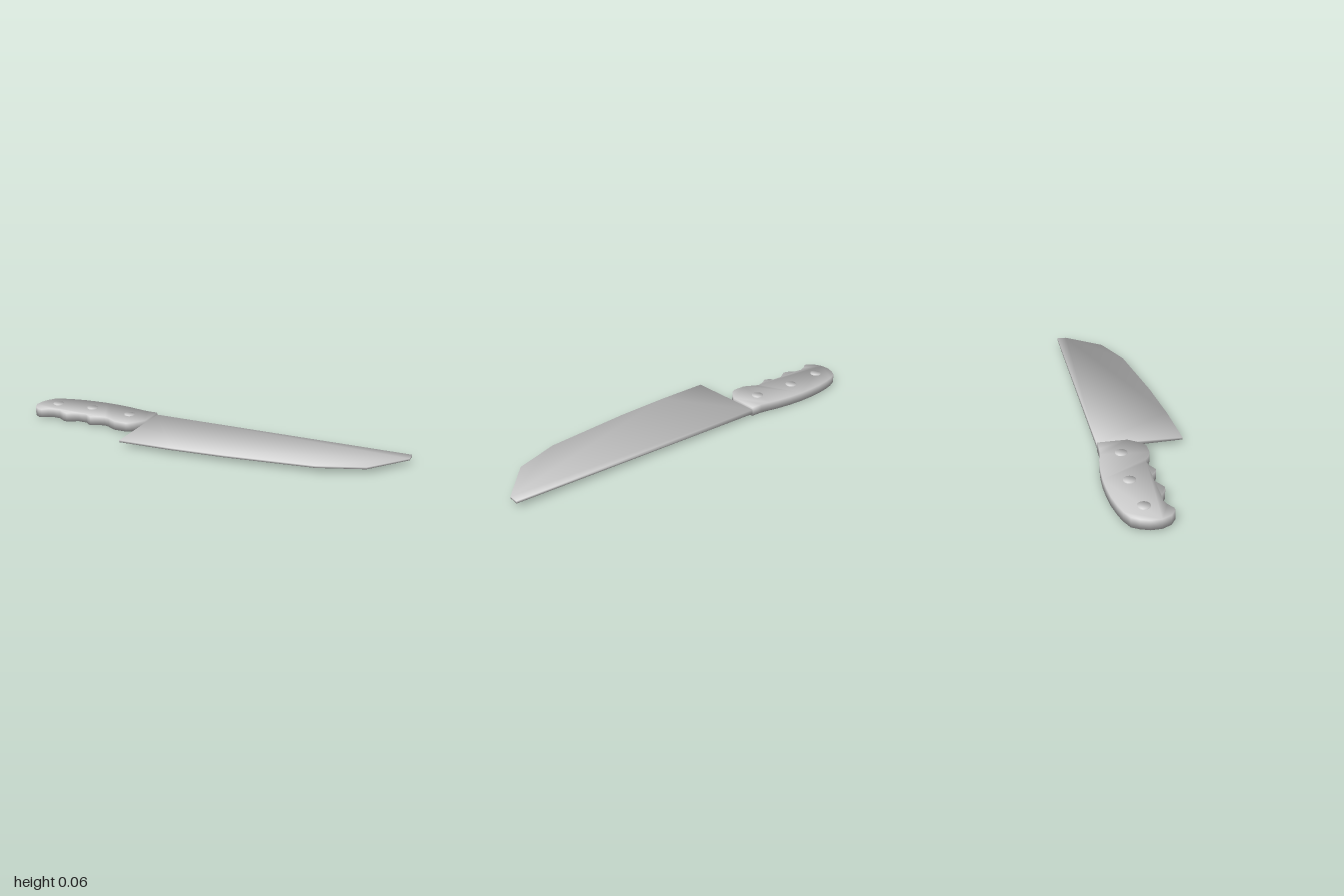
import * as THREE from 'three';

const MID_Y = 0.03;

// Closed slab from an outline of [x, z, halfThickness]; normals are softened around the rim.
function slab(name, outline, material) {
  let pts = outline;
  const flat = (list) => list.map(([x, z]) => new THREE.Vector2(x, z));
  if (THREE.ShapeUtils.isClockWise(flat(pts))) pts = pts.slice().reverse();
  const n = pts.length;
  const position = [], normal = [], index = [];
  const outward = (a, b) => new THREE.Vector2(b[1] - a[1], a[0] - b[0]).normalize();

  for (const side of [-1, 1]) {
    pts.forEach((p, i) => {
      const out = outward(pts[(i + n - 1) % n], p).add(outward(p, pts[(i + 1) % n])).normalize();
      const v = new THREE.Vector3(out.x, side, out.y).normalize();
      position.push(p[0], MID_Y + side * p[2], p[1]);
      normal.push(v.x, v.y, v.z);
    });
  }
  // lower and upper faces
  for (const [a, b, c] of THREE.ShapeUtils.triangulateShape(flat(pts), [])) {
    index.push(a, b, c, n + a, n + c, n + b);
  }
  // rim
  for (let i = 0; i < n; i++) {
    const j = (i + 1) % n;
    index.push(i, n + i, n + j, i, n + j, j);
  }
  const geometry = new THREE.BufferGeometry();
  geometry.setAttribute('position', new THREE.Float32BufferAttribute(position, 3));
  geometry.setAttribute('normal', new THREE.Float32BufferAttribute(normal, 3));
  geometry.setIndex(index);
  const mesh = new THREE.Mesh(geometry, material);
  mesh.name = name;
  return mesh;
}

export function createModel() {
  const group = new THREE.Group();
  group.name = 'kitchenKnife';
  const steel = new THREE.MeshStandardMaterial({ color: 0xcccccc });
  steel.name = 'light grey';

  // blade: thick straight spine, thin curved cutting edge
  group.add(slab('blade', [
    [-0.34, -0.185, 0.012], [1, -0.185, 0.006], [1, -0.135, 0.004],
    [0.845, 0.053, 0.005], [0.63, 0.134, 0.005], [0.2, 0.188, 0.005],
    [-0.075, 0.209, 0.005], [-0.34, 0.218, 0.005],
  ], steel));

  // handle: arched back, finger grooves along the front
  const handle = [
    [-0.34, -0.185], [-0.4, -0.186], [-0.45, -0.194], [-0.5, -0.204], [-0.58, -0.214],
    [-0.66, -0.218], [-0.73, -0.216], [-0.8, -0.21], [-0.87, -0.197], [-0.92, -0.183],
    [-0.965, -0.162], [-0.985, -0.13], [-1, -0.09], [-1, -0.043], [-0.98, 0],
    [-0.945, 0.024], [-0.93, 0.022], [-0.9, 0.002], [-0.87, -0.008], [-0.83, -0.004],
    [-0.79, 0.021], [-0.77, 0.024], [-0.745, 0.01], [-0.715, -0.007], [-0.665, -0.005],
    [-0.64, 0.016], [-0.625, 0.022], [-0.61, 0.015], [-0.58, -0.001], [-0.555, -0.006],
    [-0.53, 0], [-0.505, 0.016], [-0.475, 0.029], [-0.41, 0.029], [-0.385, 0.015],
    [-0.365, -0.01], [-0.34, -0.045],
  ];
  group.add(slab('handle', handle.map(([x, z]) => [x, z, 0.023]), steel));

  // rivets through the handle
  for (const [x, z] of [[-0.895, -0.094], [-0.69, -0.109], [-0.457, -0.097]]) {
    const circle = Array.from({ length: 24 }, (_, i) => {
      const a = (i / 24) * Math.PI * 2;
      return [x + 0.028 * Math.cos(a), z + 0.028 * Math.sin(a), 0.028];
    });
    group.add(slab('rivet', circle, steel));
  }
  return group;
}
